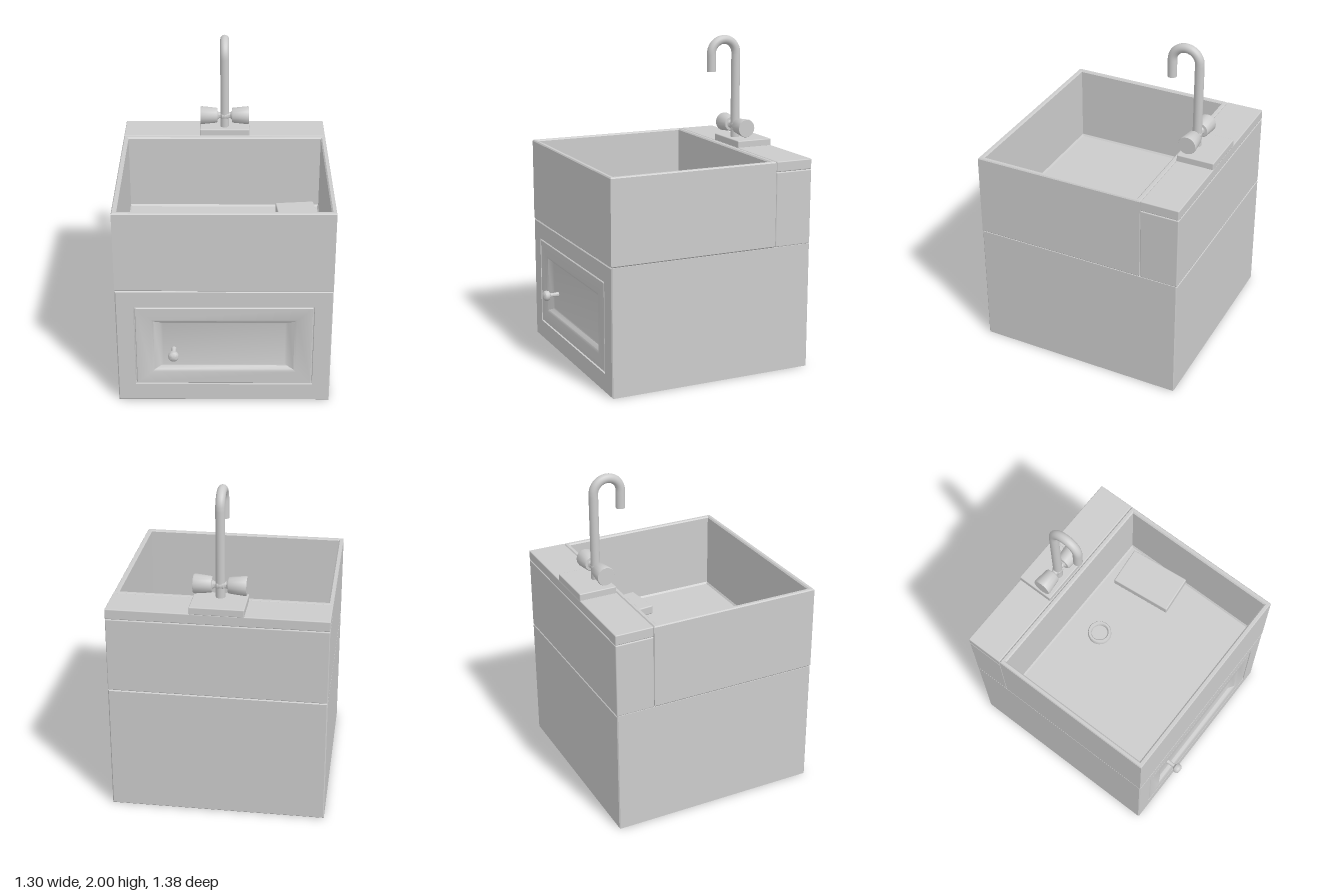
import * as THREE from 'three';
import { toCreasedNormals } from 'three/addons/utils/BufferGeometryUtils.js';
import { RoundedBoxGeometry } from 'three/addons/geometries/RoundedBoxGeometry.js';

const material = new THREE.MeshStandardMaterial({ color: 0xcccccc });

function add(parent, name, geometry, x = 0, y = 0, z = 0) {
  const mesh = new THREE.Mesh(geometry, material);
  mesh.name = name;
  mesh.position.set(x, y, z);
  parent.add(mesh);
  return mesh;
}

// Skin over rectangular rings [halfWidth, halfHeight, z, centreY], closed at both ends
function rectLoft(rings) {
  const pos = [];
  const corners = rings.map(([w, h, z, cy = 0]) =>
    [[-w, cy - h, z], [w, cy - h, z], [w, cy + h, z], [-w, cy + h, z]]);
  const quad = (a, b, c, d) => pos.push(...a, ...b, ...c, ...a, ...c, ...d);
  for (let r = 0; r < corners.length - 1; r++) {
    for (let i = 0; i < 4; i++) {
      const j = (i + 1) % 4;
      quad(corners[r][i], corners[r][j], corners[r + 1][j], corners[r + 1][i]);
    }
  }
  const [a, b, c, d] = corners[0];
  quad(d, c, b, a);
  quad(...corners[corners.length - 1]);
  const geo = new THREE.BufferGeometry();
  geo.setAttribute('position', new THREE.Float32BufferAttribute(pos, 3));
  return toCreasedNormals(geo, 0.6);
}

// Box given by its limits, with slightly rounded edges
function block(parent, name, [x0, x1], [y0, y1], [z0, z1], r = 0.006) {
  const geo = new RoundedBoxGeometry(x1 - x0, y1 - y0, z1 - z0, 2, r);
  return add(parent, name, geo, (x0 + x1) / 2, (y0 + y1) / 2, (z0 + z1) / 2);
}

const lathe = (points, segments = 24) => toCreasedNormals(
  new THREE.LatheGeometry(points.map(p => new THREE.Vector2(...p)), segments), 0.7);

export function createModel() {
  const model = new THREE.Group();
  model.name = 'utilitySink';

  // Cabinet with a shallow opening for the door
  add(model, 'cabinet', rectLoft([
    [0.644, 0.387, -0.69, 0.393], [0.65, 0.393, -0.684, 0.393],
    [0.65, 0.393, 0.609, 0.393], [0.644, 0.387, 0.615, 0.393],
    [0.542, 0.28, 0.615, 0.397], [0.542, 0.28, 0.575, 0.397],
  ]));

  // Door with a sunken panel
  const door = new THREE.Group();
  door.name = 'door';
  model.add(door);
  add(door, 'doorPanel', rectLoft([
    [0.535, 0.273, 0.576], [0.535, 0.273, 0.61], [0.531, 0.269, 0.614],
    [0.44, 0.188, 0.614], [0.425, 0.174, 0.608], [0.385, 0.156, 0.588], [0.37, 0.148, 0.585],
  ]), 0, 0.397, 0);
  const knob = add(door, 'doorKnob', lathe([
    [0, 0], [0.016, 0], [0.013, 0.02], [0.013, 0.055], [0.03, 0.066],
    [0.033, 0.078], [0.031, 0.092], [0.02, 0.102], [0, 0.105],
  ], 16), -0.305, 0.36, 0.585);
  knob.rotation.x = Math.PI / 2;

  // Open basin, lofted upwards and back down inside
  const basin = rectLoft([
    [0.644, 0.526, 0.786], [0.65, 0.5325, 0.793], [0.65, 0.5325, 1.303],
    [0.645, 0.527, 1.31], [0.628, 0.51, 1.31], [0.62, 0.502, 1.302],
    [0.62, 0.502, 0.826], [0.611, 0.493, 0.815],
  ]);
  basin.rotateX(-Math.PI / 2);
  add(model, 'basin', basin, 0, 0, 0.0825);

  // Drain ring
  add(model, 'drain', lathe([
    [0.075, 0.812], [0.075, 0.838], [0.07, 0.846], [0.058, 0.846], [0.052, 0.838], [0.052, 0.82], [0, 0.82],
  ], 32), 0, 0, -0.21);

  // Sponge lying on the basin floor
  const sponge = add(model, 'sponge', new RoundedBoxGeometry(0.25, 0.06, 0.397, 2, 0.008), 0.477, 0.845, -0.165);
  sponge.rotation.y = 0.1;

  // Rear support and ledge
  block(model, 'rearSupport', [-0.65, 0.65], [0.787, 1.245], [-0.69, -0.452]);
  block(model, 'rearLedge', [-0.65, 0.65], [1.247, 1.31], [-0.69, -0.452]);

  // Tap
  const tap = new THREE.Group();
  tap.name = 'tap';
  model.add(tap);
  block(tap, 'tapBase', [-0.16, 0.16], [1.305, 1.352], [-0.69, -0.455]);

  // Gooseneck spout: straight riser, half circle, short drop
  const path = new THREE.CurvePath();
  const V = (y, z) => new THREE.Vector3(0, y, z);
  const arc = [];
  for (let i = 0; i <= 16; i++) {
    const a = Math.PI * (1 - i / 16);
    arc.push(V(1.886 + 0.086 * Math.sin(a), -0.43 + 0.086 * Math.cos(a)));
  }
  path.add(new THREE.LineCurve3(V(1.345, -0.516), arc[0]));
  path.add(new THREE.CatmullRomCurve3(arc));
  path.add(new THREE.LineCurve3(arc[16], V(1.775, -0.345)));
  add(tap, 'spout', new THREE.TubeGeometry(path, 80, 0.028, 16));
  const tip = add(tap, 'spoutEnd', new THREE.CircleGeometry(0.028, 16), 0, 1.775, -0.345);
  tip.rotation.x = Math.PI / 2;

  // Handles: flared stem and tapered grip on each side
  for (const side of [-1, 1]) {
    const handle = add(tap, side > 0 ? 'leftHandle' : 'rightHandle', lathe([
      [0, 0], [0.03, 0], [0.028, 0.018], [0.019, 0.026], [0.019, 0.036], [0.028, 0.046],
      [0.044, 0.047], [0.048, 0.052], [0.058, 0.148], [0.055, 0.156], [0, 0.156],
    ], 16), 0, 1.427, -0.516);
    handle.rotation.z = -side * Math.PI / 2;
  }
  return model;
}
